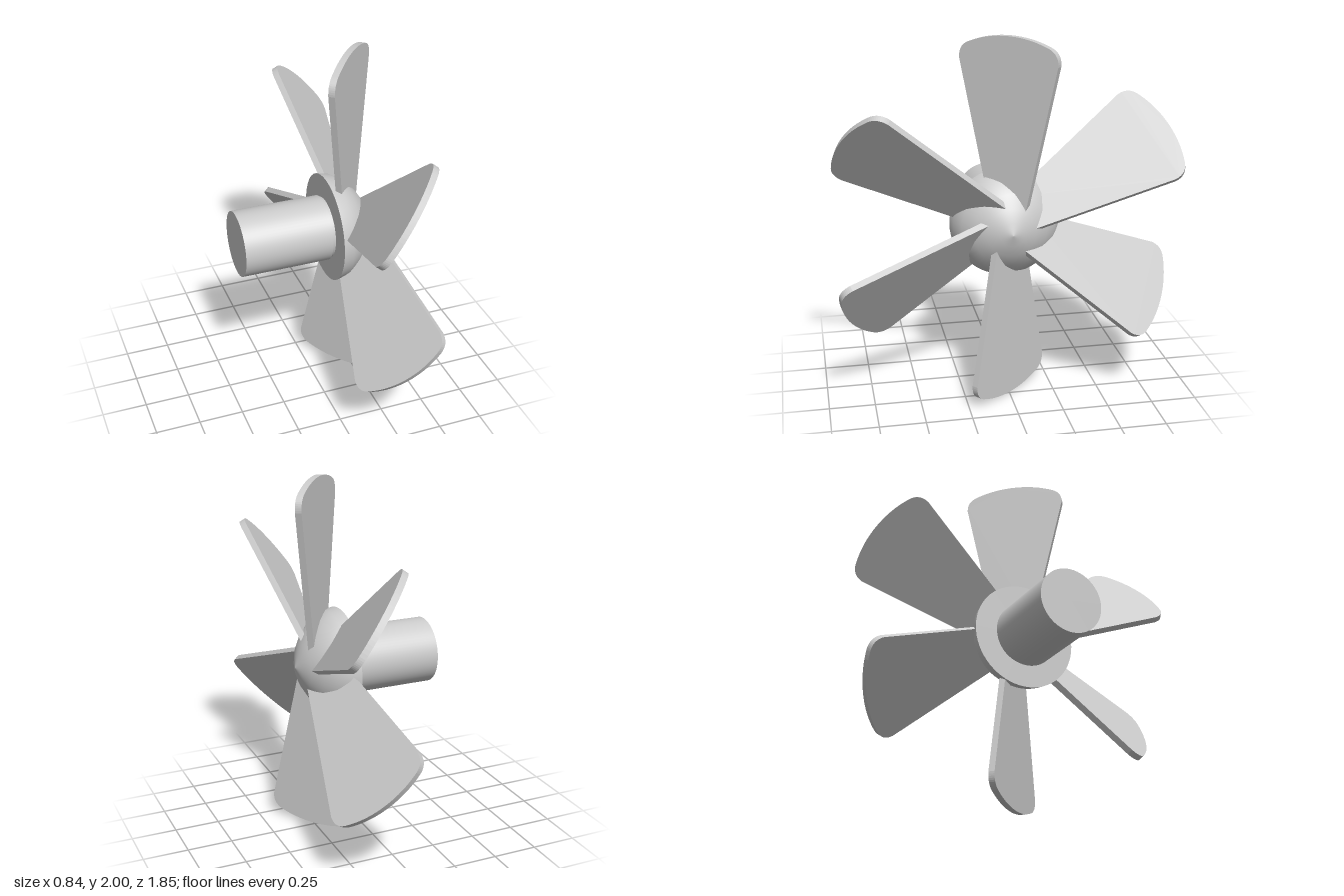
import * as THREE from 'three';

const AXIS_Y = 0.968; // height of shaft and hub axis
const material = new THREE.MeshStandardMaterial({ color: 0xcccccc });

function addMesh(parent, name, geometry) {
  const mesh = new THREE.Mesh(geometry, material);
  mesh.name = name;
  parent.add(mesh);
  return mesh;
}

// Cylinder lying along x between x0 and x1
function rod(radius, x0, x1) {
  return new THREE.CylinderGeometry(radius, radius, x1 - x0, 64)
    .rotateZ(-Math.PI / 2)
    .translate((x0 + x1) / 2, 0, 0);
}

// Flat, flared plate with a curved tip, pitched about its own length
function bladeGeometry() {
  const s = new THREE.Shape();
  s.moveTo(-0.11, 0.08);
  s.lineTo(0.11, 0.08);
  s.lineTo(0.288, 0.865);
  s.quadraticCurveTo(0.293, 0.93, 0.235, 0.955);
  s.quadraticCurveTo(0.125, 1, 0, 1);
  s.quadraticCurveTo(-0.125, 1, -0.235, 0.955);
  s.quadraticCurveTo(-0.293, 0.93, -0.288, 0.865);
  s.closePath();
  const depth = 0.035;
  return new THREE.ExtrudeGeometry(s, { depth, bevelEnabled: false, curveSegments: 10 })
    .translate(0, 0, -depth / 2)
    .rotateY(THREE.MathUtils.degToRad(50));
}

export function createModel() {
  const model = new THREE.Group();
  model.name = 'propeller';

  // Shaft with a slightly narrower neck behind the hub
  const core = new THREE.Group();
  core.name = 'shaftAndHub';
  core.position.y = AXIS_Y;
  model.add(core);
  addMesh(core, 'shaft', rod(0.183, -0.425, 0.072));
  addMesh(core, 'shaftNeck', rod(0.172, 0.06, 0.1));

  // Domed hub with a flat back
  const profile = [
    [0.303, 0.09], [0.291, 0.15], [0.255, 0.21], [0.2, 0.265], [0.13, 0.31], [0.065, 0.336], [0, 0.355],
  ].map(([r, x]) => new THREE.Vector2(r, x));
  addMesh(core, 'hubDome', new THREE.LatheGeometry(profile, 64).rotateZ(-Math.PI / 2));
  addMesh(core, 'hubBack', new THREE.CircleGeometry(0.303, 64).rotateY(-Math.PI / 2).translate(0.09, 0, 0));

  // Six blades around the axis
  const blade = bladeGeometry();
  for (let i = 0; i < 6; i++) {
    const mesh = addMesh(model, `blade${i + 1}`, blade);
    mesh.position.set(0.22, 1, 0);
    mesh.rotation.x = (i * Math.PI) / 3;
  }
  return model;
}
